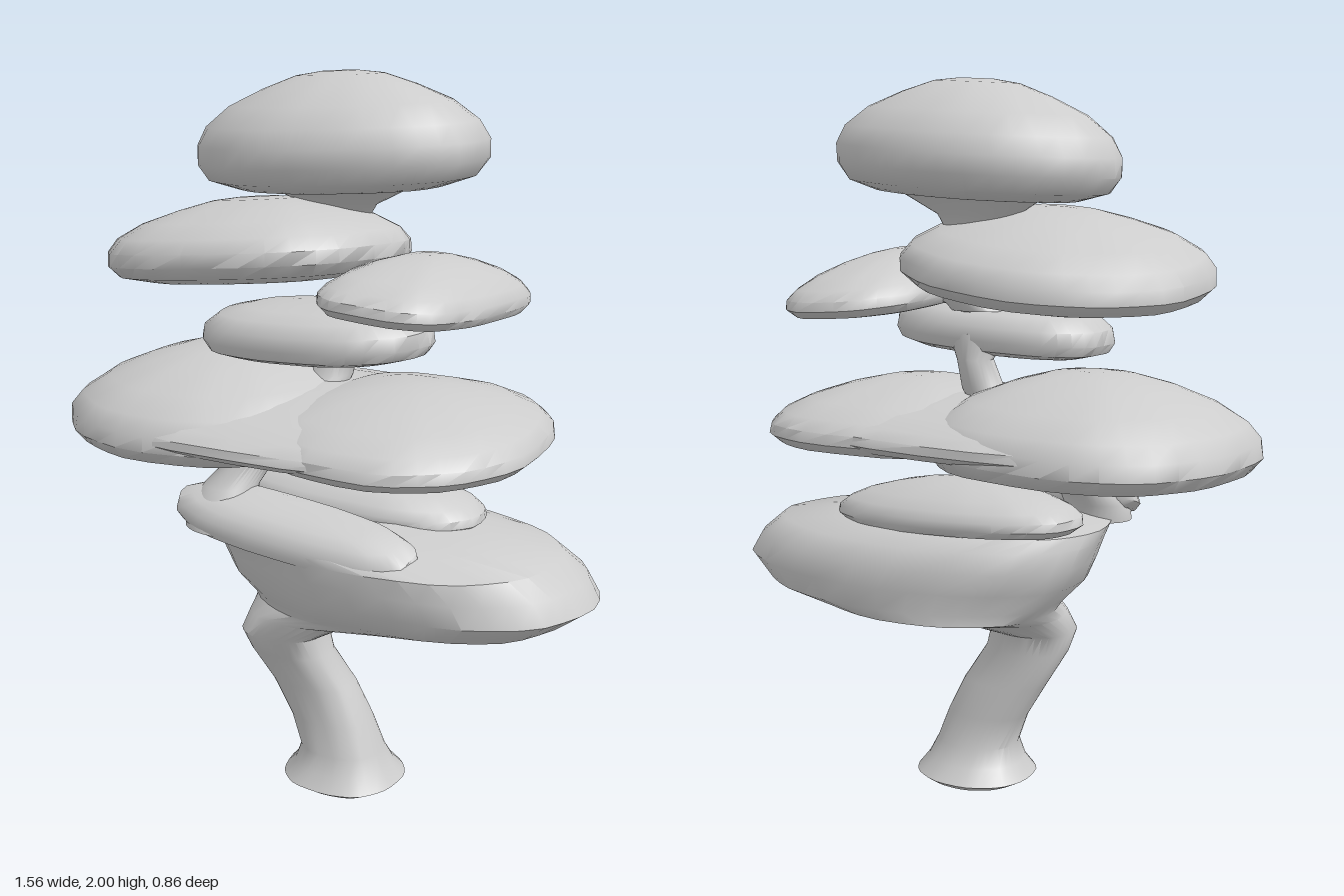
import * as THREE from 'three';
import { toCreasedNormals } from 'three/addons/utils/BufferGeometryUtils.js';

const SEG = 36;

// Skin stacked oval sections [cx, y, cz, rx, rz], bottom to top, with closed ends.
// power > 2 squares the oval, rough ripples its edge, tilt leans it along x and z.
function loft(sections, { power = 2, rough = 0, tilt = [0, 0], seed = 0 } = {}) {
  const pos = [], index = [];
  const [ox, , oz] = sections[0];
  const add = (x, y, z) => pos.push(x, y + (x - ox) * tilt[0] + (z - oz) * tilt[1], z);
  const curve = (v) => Math.sign(v) * Math.abs(v) ** (2 / power);
  sections.forEach(([cx, y, cz, rx, rz], j) => {
    for (let i = 0; i < SEG; i++) {
      const a = (i / SEG) * Math.PI * 2;
      const ripple = 1 - rough * (0.5 + 0.3 * Math.sin(a * 5 + seed) + 0.2 * Math.sin(a * 11 + seed * 3 + j));
      add(cx + rx * ripple * curve(Math.cos(a)), y, cz + rz * ripple * curve(Math.sin(a)));
    }
  });
  const last = sections.length - 1;
  for (let j = 0; j < last; j++) {
    for (let i = 0; i < SEG; i++) {
      const a = j * SEG + i, b = j * SEG + ((i + 1) % SEG);
      index.push(a, a + SEG, b, b, a + SEG, b + SEG);
    }
  }
  const bottom = pos.length / 3;
  add(...sections[0].slice(0, 3));
  add(...sections[last].slice(0, 3));
  for (let i = 0; i < SEG; i++) {
    const n = (i + 1) % SEG;
    index.push(bottom, i, n, bottom + 1, last * SEG + n, last * SEG + i);
  }
  const geo = new THREE.BufferGeometry();
  geo.setAttribute('position', new THREE.Float32BufferAttribute(pos, 3));
  geo.setIndex(index);
  return toCreasedNormals(geo, 0.75);
}

// Foliage profiles: [share of radius, share of height]
const CLOUD = [[0.45, 0.1], [0.8, 0.02], [0.93, 0.06], [1, 0.2], [0.99, 0.36],
  [0.91, 0.52], [0.74, 0.7], [0.5, 0.86], [0.28, 0.96], [0.1, 1]];
const DOME = [[0.3, 0.0], [0.72, 0.02], [0.92, 0.1], [1, 0.24], [1, 0.4],
  [0.93, 0.56], [0.76, 0.73], [0.52, 0.87], [0.3, 0.97], [0.12, 1]];
const BUN = [[0.4, 0.05], [0.8, 0], [0.95, 0.1], [1, 0.3], [0.98, 0.58], [0.85, 0.82], [0.6, 0.95], [0.3, 1]];

export function createModel() {
  const tree = new THREE.Group();
  tree.name = 'cloudPrunedTree';
  const grey = new THREE.MeshStandardMaterial({ color: 0xcccccc });
  grey.name = 'paleGrey';

  const part = (name, geometry) => {
    const mesh = new THREE.Mesh(geometry, grey);
    mesh.name = name;
    tree.add(mesh);
  };

  // Leaning trunk with a flared foot, opening out into the lowest foliage
  part('trunkAndLowerFoliage', loft([
    [0.08, 0.0, 0.065, 0.14, 0.135], [0.078, 0.02, 0.065, 0.175, 0.165], [0.08, 0.06, 0.07, 0.143, 0.132],
    [0.078, 0.11, 0.075, 0.122, 0.108], [0.045, 0.2, 0.08, 0.122, 0.095], [-0.01, 0.3, 0.085, 0.128, 0.088],
    [-0.065, 0.4, 0.115, 0.125, 0.095], [-0.08, 0.46, 0.125, 0.125, 0.115], [-0.02, 0.515, 0.06, 0.18, 0.18],
    [0.14, 0.55, -0.03, 0.36, 0.29], [0.235, 0.58, -0.02, 0.475, 0.315], [0.245, 0.64, -0.005, 0.545, 0.335],
    [0.215, 0.7, 0, 0.54, 0.335], [0.175, 0.755, 0.02, 0.515, 0.325], [0.04, 0.79, 0.05, 0.38, 0.29],
    [0, 0.81, 0.05, 0.25, 0.2],
  ], { rough: 0.03, power: 2.2 }));

  // Foliage pads: centre x, z, radii x, z, bottom, top
  const pads = [
    ['lowerSlab', 0.04, -0.08, 0.39, 0.18, 0.78, 0.92, CLOUD, { power: 2.4, tilt: [-0.04, 0] }],
    ['frontSlab', 0.02, 0.25, 0.37, 0.09, 0.77, 0.865, BUN, { power: 2.8, tilt: [-0.1, -0.35] }],
    ['middlePlate', -0.08, 0, 0.68, 0.44, 1.015, 1.16, CLOUD, { power: 2.5 }],
    ['middleLeftPad', -0.34, 0, 0.44, 0.43, 0.97, 1.235, CLOUD, { power: 2.3, tilt: [0.02, 0] }],
    ['middleRightPad', 0.23, 0, 0.39, 0.43, 1.0, 1.185, CLOUD, { power: 2.4 }],
    ['centrePad', 0.005, 0.09, 0.335, 0.205, 1.265, 1.4, BUN, { power: 2.3, tilt: [0.05, 0] }],
    ['upperRightPad', 0.285, -0.01, 0.22, 0.39, 1.385, 1.54, CLOUD, { power: 2.8, tilt: [-0.05, 0.08] }],
    ['upperLeftPad', -0.23, 0, 0.42, 0.39, 1.43, 1.655, DOME, { power: 2.25, tilt: [0.1, 0.09] }],
    ['crownPad', -0.005, -0.055, 0.425, 0.29, 1.685, 1.995, DOME, { tilt: [0.06, 0.02] }],
  ];
  pads.forEach(([name, x, z, rx, rz, low, high, profile, shape], seed) => {
    const sections = profile.map(([r, h]) => [x, low + (high - low) * h, z, rx * r, rz * r]);
    part(name, loft(sections, { rough: 0.035, seed, ...shape }));
  });

  // Bare stems showing between the pads
  part('lowerStem', loft([
    [-0.2, 0.78, 0.24, 0.12, 0.09], [-0.22, 0.83, 0.23, 0.1, 0.085], [-0.21, 0.89, 0.19, 0.075, 0.08],
    [-0.17, 0.96, 0.13, 0.06, 0.09], [-0.12, 1.03, 0.08, 0.12, 0.12],
  ]));
  part('middleStem', loft([
    [-0.08, 1.09, 0, 0.09, 0.09], [-0.03, 1.17, -0.06, 0.06, 0.055],
    [-0.01, 1.25, -0.07, 0.05, 0.05], [0.0, 1.32, -0.04, 0.09, 0.07],
  ]));
  part('upperStem', loft([
    [0, 1.38, -0.04, 0.08, 0.06], [0.04, 1.43, -0.08, 0.06, 0.05], [0.02, 1.5, -0.1, 0.06, 0.05],
    [-0.02, 1.58, -0.11, 0.06, 0.04], [-0.04, 1.64, -0.1, 0.12, 0.08], [-0.02, 1.7, -0.08, 0.22, 0.17],
  ]));
  // Side branch reaching the upper right pad
  part('sideBranch', new THREE.TubeGeometry(new THREE.CatmullRomCurve3([
    new THREE.Vector3(0.0, 1.39, -0.05), new THREE.Vector3(0.08, 1.43, -0.07), new THREE.Vector3(0.2, 1.45, -0.04),
  ]), 8, 0.035, 8));

  return tree;
}
